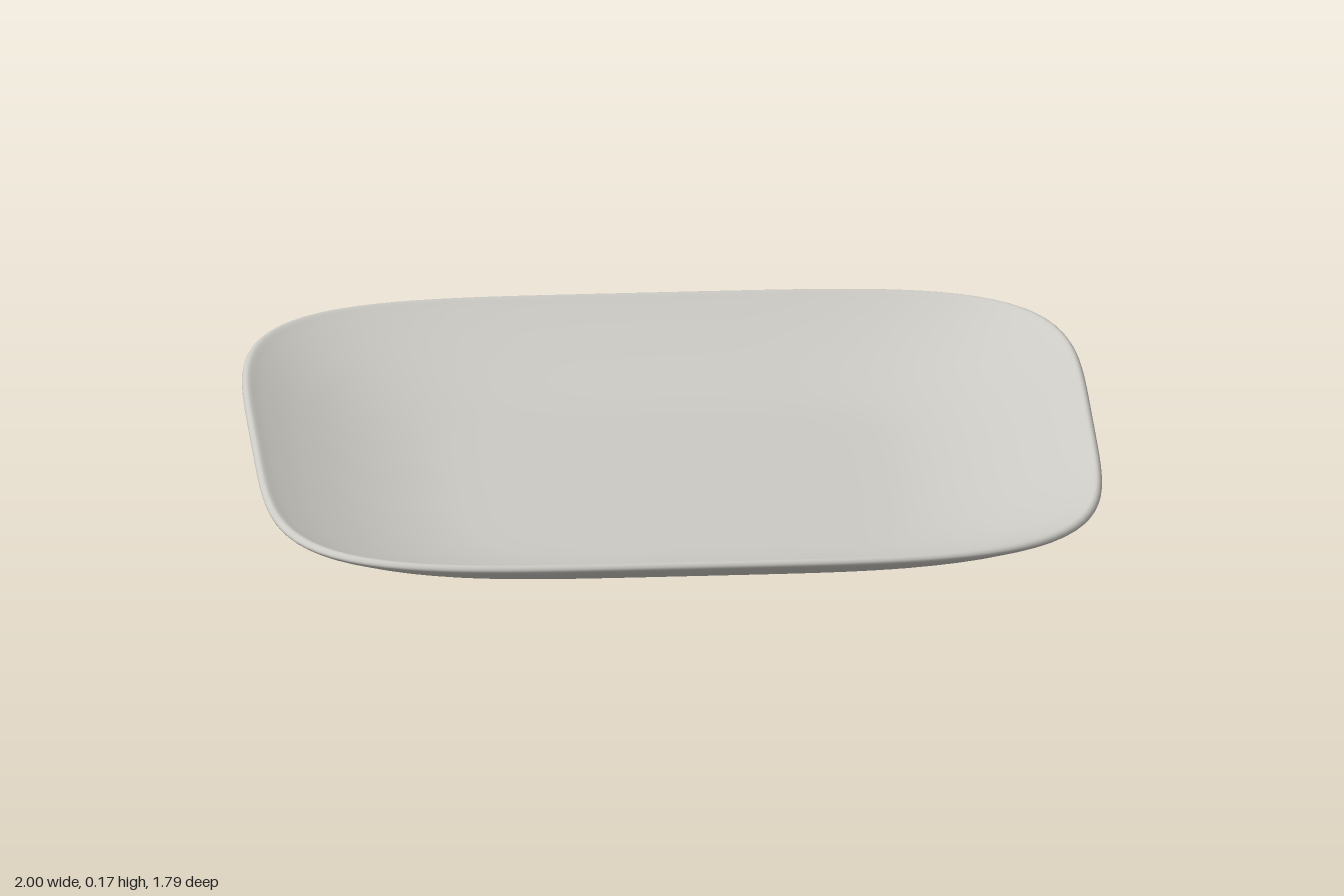
import * as THREE from 'three';
import { mergeVertices } from 'three/addons/utils/BufferGeometryUtils.js';

const HALF_DEPTH = 0.895; // half width is 1
const POWER = 4.5;        // squareness of the outline

// Smooth curve through [radius, height] pairs
const smooth = (pairs, n) =>
  new THREE.SplineCurve(pairs.map(([r, y]) => new THREE.Vector2(r, y))).getPoints(n);

export function createModel() {
  const group = new THREE.Group();
  group.name = 'squarePlate';
  const ceramic = new THREE.MeshStandardMaterial({ color: 0xcccac4 });
  ceramic.name = 'warm grey ceramic';

  // Underside with foot ring, rounded rim, then the dished inside
  const under = smooth([[0, 0.008], [0.25, 0.008], [0.43, 0.008], [0.465, 0.005], [0.485, 0],
    [0.505, 0.001], [0.525, 0.008], [0.57, 0.014], [0.68, 0.035], [0.8, 0.067],
    [0.9, 0.104], [0.97, 0.136]], 44);
  const rim = smooth([[0.97, 0.136], [0.99, 0.146], [1, 0.155], [0.997, 0.164],
    [0.988, 0.168], [0.978, 0.164]], 14);
  const inside = smooth([[0.978, 0.164], [0.95, 0.149], [0.88, 0.117], [0.78, 0.08],
    [0.68, 0.053], [0.58, 0.036], [0.48, 0.03], [0.3, 0.029], [0, 0.029]], 30);
  const profile = [...under, ...rim.slice(1), ...inside.slice(1)];
  profile[0].x = profile[profile.length - 1].x = 0;

  // Turn the profile, then push each ring out to a rounded-square outline
  const lathe = new THREE.LatheGeometry(profile, 160);
  const pos = lathe.attributes.position;
  for (let i = 0; i < pos.count; i++) {
    const x = pos.getX(i), z = pos.getZ(i);
    const r = Math.hypot(x, z);
    if (r < 1e-6) continue;
    const k = Math.pow(Math.abs(x / r) ** POWER + Math.abs(z / r) ** POWER, -1 / POWER);
    pos.setX(i, x * k);
    pos.setZ(i, z * k * HALF_DEPTH);
  }

  // Weld the seam so shading is continuous
  lathe.deleteAttribute('uv');
  lathe.deleteAttribute('normal');
  const geometry = mergeVertices(lathe, 1e-5);
  geometry.computeVertexNormals();

  const plate = new THREE.Mesh(geometry, ceramic);
  plate.name = 'plate';
  group.add(plate);
  return group;
}
